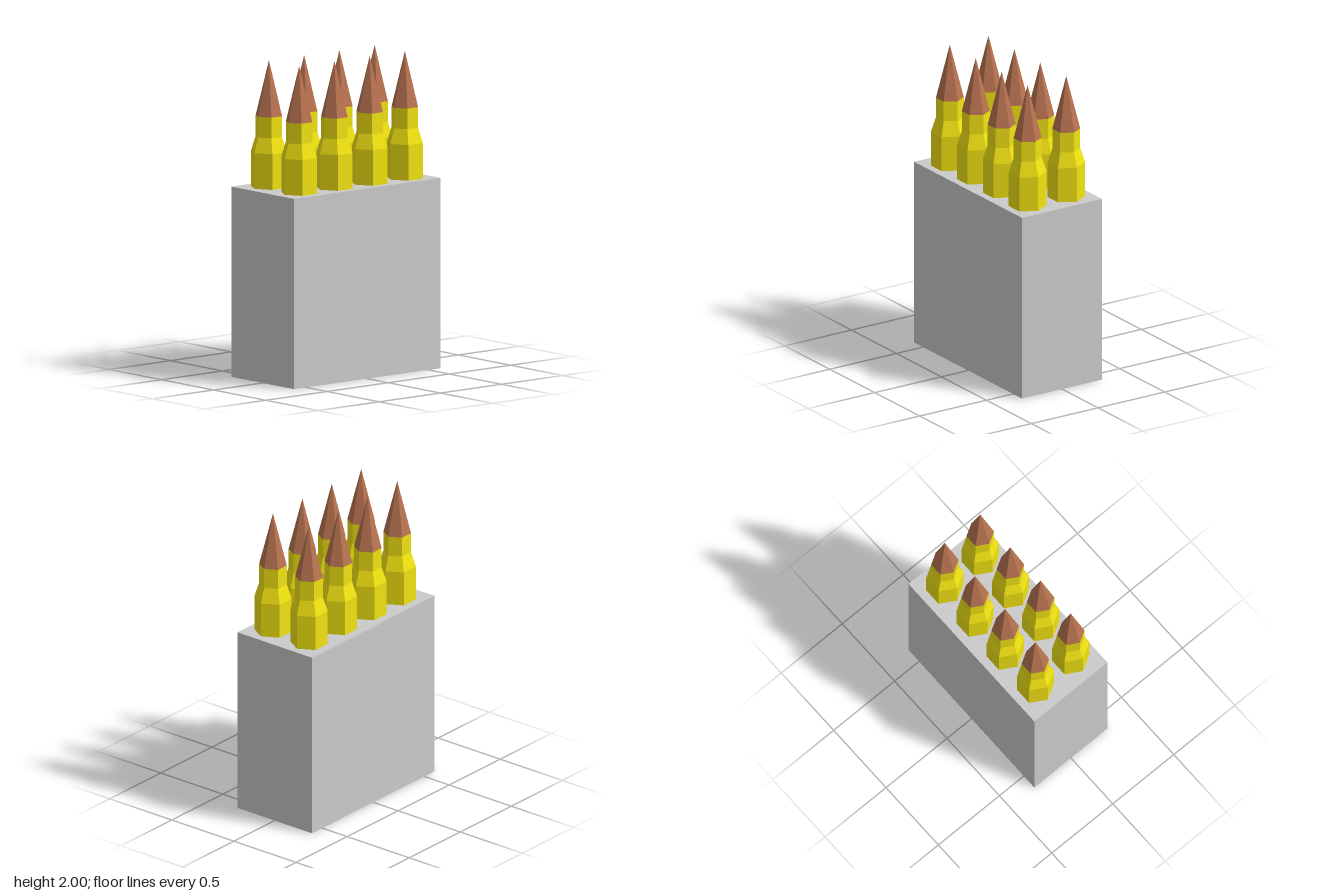
import * as THREE from 'three';

const SIDES = 6;

// Six-sided faceted solid from [radius, y] pairs, listed bottom to top
function faceted(profile, material, name) {
  const points = profile.map(([r, y]) => new THREE.Vector2(r, y));
  const mesh = new THREE.Mesh(new THREE.LatheGeometry(points, SIDES), material);
  mesh.name = name;
  return mesh;
}

export function createModel() {
  const model = new THREE.Group();
  model.name = 'cartridgeBox';

  const grey = new THREE.MeshStandardMaterial({ color: 0xcccccc, flatShading: true });
  const brass = new THREE.MeshStandardMaterial({ color: 0xf2e412, flatShading: true });
  const copper = new THREE.MeshStandardMaterial({ color: 0xb8734f, flatShading: true });

  // Plain block that holds the rounds
  const boxHeight = 1.2;
  const box = new THREE.Mesh(new THREE.BoxGeometry(0.6, boxHeight, 1.2), grey);
  box.name = 'box';
  box.position.y = boxHeight / 2;
  model.add(box);

  // One round: bottlenecked case with a pointed tip
  const round = new THREE.Group();
  round.add(
    faceted([[0.118, 0], [0.118, 0.225], [0.087, 0.32], [0.087, 0.45]], brass, 'case'),
    faceted([[0.087, 0.45], [0, 0.8]], copper, 'tip'),
  );

  // Two columns of four rounds standing on the box
  for (let column = 0; column < 2; column++) {
    for (let row = 0; row < 4; row++) {
      const copy = round.clone();
      copy.name = `round${column * 4 + row + 1}`;
      copy.position.set(-0.142 + column * 0.29, boxHeight, -0.437 + row * 0.288);
      model.add(copy);
    }
  }

  return model;
}
